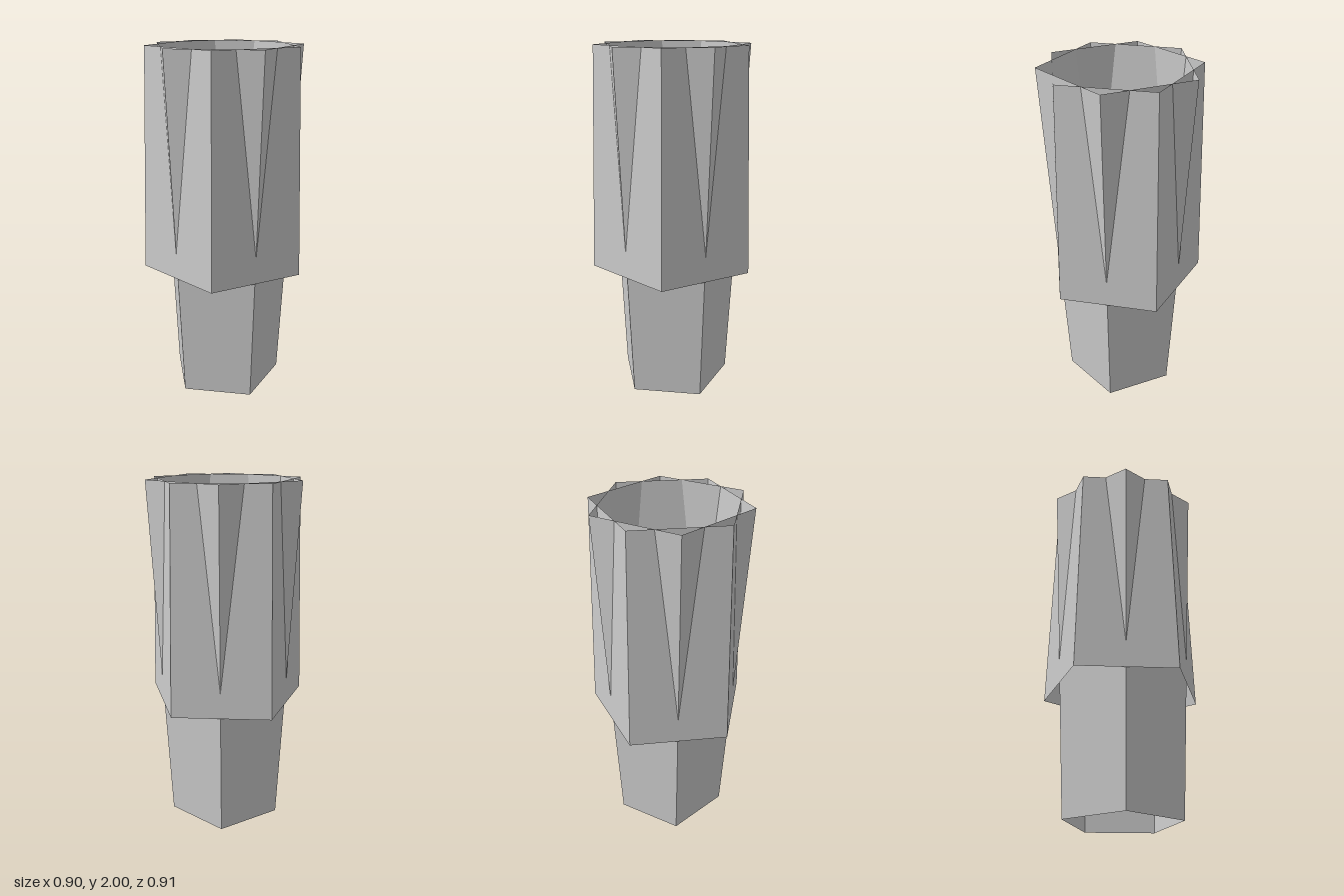
import * as THREE from 'three';

const material = new THREE.MeshStandardMaterial({
  color: 0xcccccc, flatShading: true, side: THREE.DoubleSide,
});

// Open, tapered five-sided tube standing between two heights
function pentagonTube(name, topRadius, bottomRadius, y0, y1, turn) {
  const geometry = new THREE.CylinderGeometry(
    topRadius, bottomRadius, y1 - y0, 5, 1, true, turn, Math.PI * 2);
  const mesh = new THREE.Mesh(geometry, material);
  mesh.name = name;
  mesh.position.set(0, (y0 + y1) / 2, 0.016);
  return mesh;
}

export function createModel() {
  const group = new THREE.Group();
  group.name = 'pentagonalHolder';

  // Full-height tube, flaring upwards, one corner to the front
  group.add(pentagonTube('innerTube', 0.44, 0.334, 0, 2, -0.0122));

  // Upper sleeve, narrowing upwards, one corner to the back
  group.add(pentagonTube('outerSleeve', 0.437, 0.475, 0.737, 2, Math.PI));

  return group;
}
